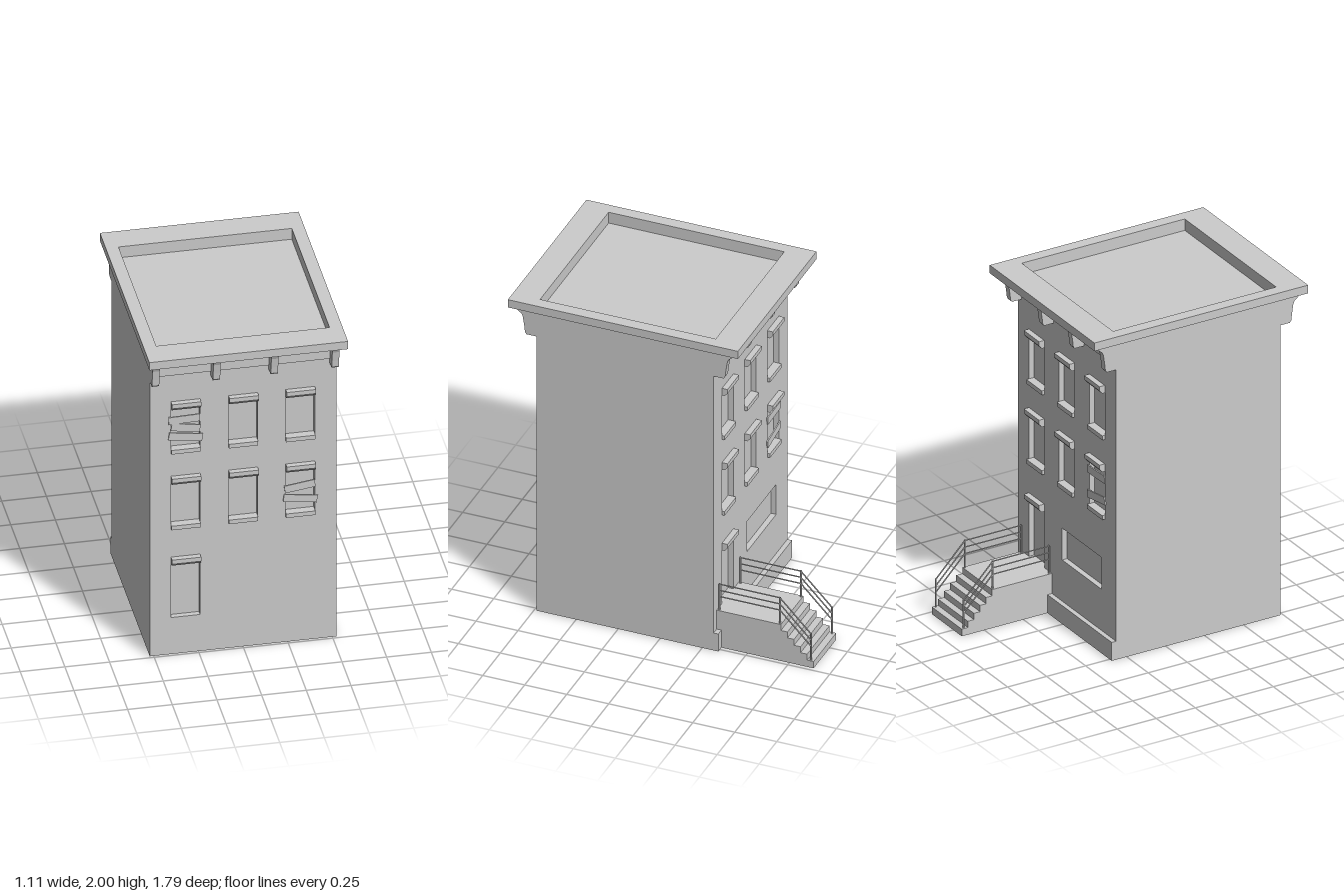
import * as THREE from 'three';

const material = new THREE.MeshStandardMaterial({ color: 0xcccccc, flatShading: true, side: THREE.DoubleSide });
const FRONT = 0.735, BACK = -0.318, HALF = 0.522, WALL_TOP = 1.95;

function add(parent, name, geometry, x = 0, y = 0, z = 0) {
  const mesh = new THREE.Mesh(geometry, material);
  mesh.name = name;
  mesh.position.set(x, y, z);
  parent.add(mesh);
  return mesh;
}

// Removes the triangles whose three corners all pass the test
function dropFaces(geometry, test) {
  const source = geometry.index ? geometry.toNonIndexed() : geometry;
  const p = source.attributes.position, kept = [];
  for (let i = 0; i < p.count; i += 3) {
    const corners = [0, 1, 2].map(k => new THREE.Vector3().fromBufferAttribute(p, i + k));
    if (!corners.every(test)) corners.forEach(c => kept.push(c.x, c.y, c.z));
  }
  const result = new THREE.BufferGeometry();
  result.setAttribute('position', new THREE.Float32BufferAttribute(kept, 3));
  result.computeVertexNormals();
  return result;
}

// Box hollow open towards +z, its rim at z = 0
function recess(w, h, depth) {
  const box = new THREE.BoxGeometry(w, h, depth).translate(0, 0, -depth / 2);
  return dropFaces(box, v => v.z > -1e-5);
}

function rectangle(x0, y0, x1, y1, Type = THREE.Shape) {
  return new Type([[x0, y0], [x1, y0], [x1, y1], [x0, y1]].map(c => new THREE.Vector2(...c)));
}

// Extrudes a [z, y] profile across x, centred
function profileAcross(points, width) {
  const shape = new THREE.Shape(points.map(c => new THREE.Vector2(...c)));
  return new THREE.ExtrudeGeometry(shape, { depth: width, bevelEnabled: false })
    .translate(0, 0, -width / 2).rotateY(-Math.PI / 2);
}

// One facade facing +z with its wall plane at z = 0
function facade(name, boards, extraOpenings) {
  const group = new THREE.Group();
  group.name = name;
  const w = 0.163, columns = [-0.322, 0, 0.32];
  const openings = [...extraOpenings];

  const lintelProfile = [[0, 0], [0.016, 0], [0.033, 0.02], [0.033, 0.046], [0, 0.046]];
  const lintel = (x, y) => add(group, 'lintel', profileAcross(lintelProfile, w), x, y);
  for (const y of [0.81, 1.3]) {
    for (const x of columns) {
      openings.push(['windowRecess', x, y + 0.026, w, y === 0.81 ? 0.268 : 0.26]);
      lintel(x, y === 0.81 ? 1.104 : 1.586);
      add(group, 'sill', new THREE.BoxGeometry(w, 0.026, 0.016), x, y + 0.013, 0.008);
    }
  }
  openings.push(['doorRecess', columns[0], 0.236, w, 0.345]);
  lintel(columns[0], 0.581);

  // Wall with its openings
  const wall = rectangle(-HALF, 0, HALF, WALL_TOP);
  for (const [part, x, y, ow, oh] of openings) {
    wall.holes.push(rectangle(x - ow / 2, y, x + ow / 2, y + oh, THREE.Path));
    add(group, part, recess(ow, oh, 0.032), x, y + oh / 2);
  }
  add(group, 'wall', new THREE.ShapeGeometry(wall));

  // Nailed boards
  for (const [x, y, length, angle] of boards) {
    add(group, 'board', new THREE.BoxGeometry(length, 0.046, 0.008), x, y, 0.004).rotation.z = angle;
  }

  // Frieze and cornice brackets
  add(group, 'frieze', new THREE.BoxGeometry(HALF * 2, 0.14, 0.014), 0, 1.88, 0.007);
  const bracket = profileAcross([[0, 1.78], [0.06, 1.78], [0.069, 1.793], [0.073, 1.83], [0.082, 1.89],
    [0.09, 1.908], [0.112, 1.925], [0.125, 1.935], [0.13, 1.95], [0, 1.95]], 0.04);
  for (const x of [-0.503, -0.162, 0.162, 0.503]) add(group, 'corniceBracket', bracket, x);
  return group;
}

function porch() {
  const group = new THREE.Group();
  group.name = 'porch';
  const x0 = 0.16, x1 = 0.478, mid = (x0 + x1) / 2;

  // Landing and steps, hollow underneath
  const profile = [[BACK, 0], [BACK, 0.236]];
  for (let i = 0; i < 6; i++) {
    const z = -0.7 - i * 0.039;
    profile.push([z, 0.236 - i * 0.0385], [z, i < 5 ? 0.236 - (i + 1) * 0.0385 : 0]);
  }
  const steps = dropFaces(profileAcross(profile, x1 - x0), v => v.y < 1e-5);
  add(group, 'landingAndSteps', steps, mid);

  // Railings on both sides
  const bar = (name, x, a, b, r) => {
    const path = new THREE.LineCurve3(new THREE.Vector3(x, a[1], a[0]), new THREE.Vector3(x, b[1], b[0]));
    add(group, name, new THREE.TubeGeometry(path, 1, r, 6));
  };
  for (const x of [x0 + 0.012, x1 - 0.01]) {
    for (const [z, low, high] of [[-0.33, 0.236, 0.405], [-0.69, 0.236, 0.405], [-0.876, 0.043, 0.215]]) {
      bar('railPost', x, [z, low], [z, high], 0.006);
    }
    for (const drop of [0, 0.04, 0.08]) {
      bar('rail', x, [-0.33, 0.402 - drop], [-0.69, 0.402 - drop], 0.004);
      bar('rail', x, [-0.69, 0.402 - drop], [-0.876, 0.212 - drop], 0.004);
    }
  }

  // Plinth along the wall either side of the landing
  for (const [a, b] of [[-HALF, x0], [x1, HALF]]) {
    const box = new THREE.BoxGeometry(b - a, 0.113, 0.028).translate(0, 0.0565, 0);
    add(group, 'plinth', dropFaces(box, v => v.y < 1e-5), (a + b) / 2, 0, BACK - 0.014);
  }
  return group;
}

export function createModel() {
  const model = new THREE.Group();
  model.name = 'townhouse';

  // Facades
  const front = facade('frontFacade', [
    [-0.33, 1.513, 0.175, 0.03], [-0.322, 1.458, 0.163, -0.15], [-0.322, 1.399, 0.19, -0.14],
    [0.317, 1.0, 0.172, 0.14], [0.32, 0.922, 0.19, -0.14],
  ], []);
  front.position.z = FRONT;
  const back = facade('backFacade', [
    [0.32, 1.053, 0.18, 0.03], [0.32, 0.912, 0.185, 0.16],
  ], [['wideWindowRecess', 0.157, 0.366, 0.415, 0.195]]);
  back.position.z = BACK;
  back.rotation.y = Math.PI;
  model.add(front, back);

  // Plain side walls
  for (const side of [-1, 1]) {
    const wall = new THREE.PlaneGeometry(FRONT - BACK, WALL_TOP);
    add(model, 'sideWall', wall, side * HALF, WALL_TOP / 2, (FRONT + BACK) / 2).rotation.y = side * Math.PI / 2;
  }

  // Overhanging roof rim around a sunken roof deck
  const rim = rectangle(-0.556, -0.892, 0.556, 0.477);
  rim.holes.push(rectangle(-0.485, -0.73, 0.485, 0.315, THREE.Path));
  const rimGeometry = new THREE.ExtrudeGeometry(rim, { depth: 0.05, bevelEnabled: false }).rotateX(-Math.PI / 2);
  add(model, 'roofRim', rimGeometry, 0, 1.95);
  add(model, 'roofDeck', recess(0.97, 1.045, 0.07).rotateX(-Math.PI / 2), 0, 2, 0.2075);

  model.add(porch());
  return model;
}
